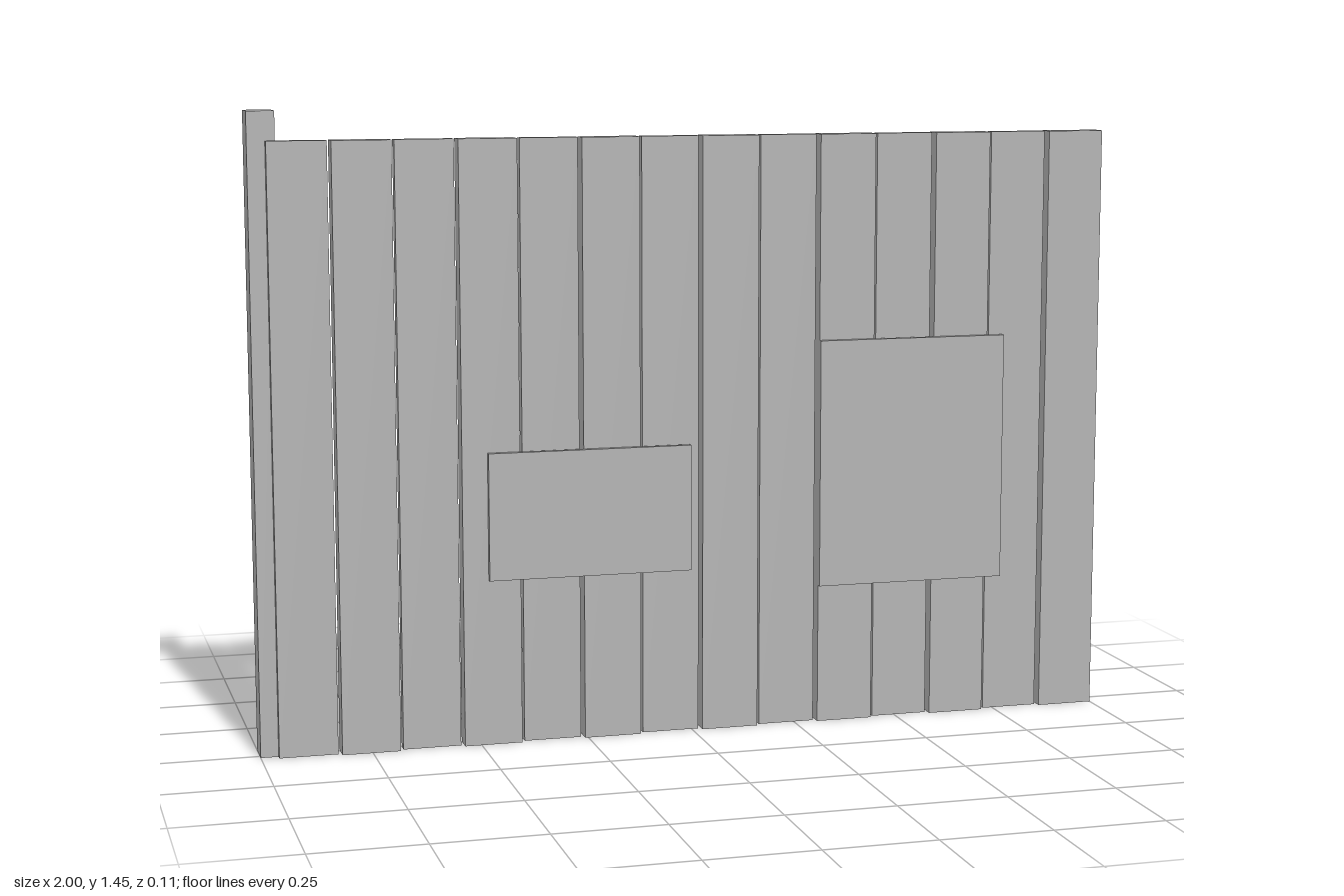
import * as THREE from 'three';

export function createModel() {
  const group = new THREE.Group();
  group.name = 'plankFence';
  const grey = new THREE.MeshStandardMaterial({ color: 0xb4b4b4 });
  grey.name = 'plain grey';

  // Box given by its lower and upper limits on each axis
  const addBox = (name, [x0, x1], [y0, y1], [z0, z1]) => {
    const mesh = new THREE.Mesh(new THREE.BoxGeometry(x1 - x0, y1 - y0, z1 - z0), grey);
    mesh.name = name;
    mesh.position.set((x0 + x1) / 2, (y0 + y1) / 2, (z0 + z1) / 2);
    group.add(mesh);
  };

  // Upright planks, alternately thin and thick
  const count = 14, width = 0.133, first = -0.96;
  const pitch = (1 - width - first) / (count - 1);
  for (let i = 0; i < count; i++) {
    const x = first + i * pitch;
    const depth = i % 2 ? [-0.004, 0.04] : [0.005, 0.029];
    addBox(`plank${i + 1}`, [x, x + width], [0, 1.38], depth);
  }

  // Taller post at the end
  addBox('endPost', [-1, -0.938], [0, 1.445], [-0.052, 0.014]);

  // Sign boards on the front
  addBox('wideSign', [-0.48, -0.007], [0.383, 0.675], [0.04, 0.053]);
  addBox('tallSign', [0.304, 0.756], [0.327, 0.905], [0.04, 0.053]);

  return group;
}
